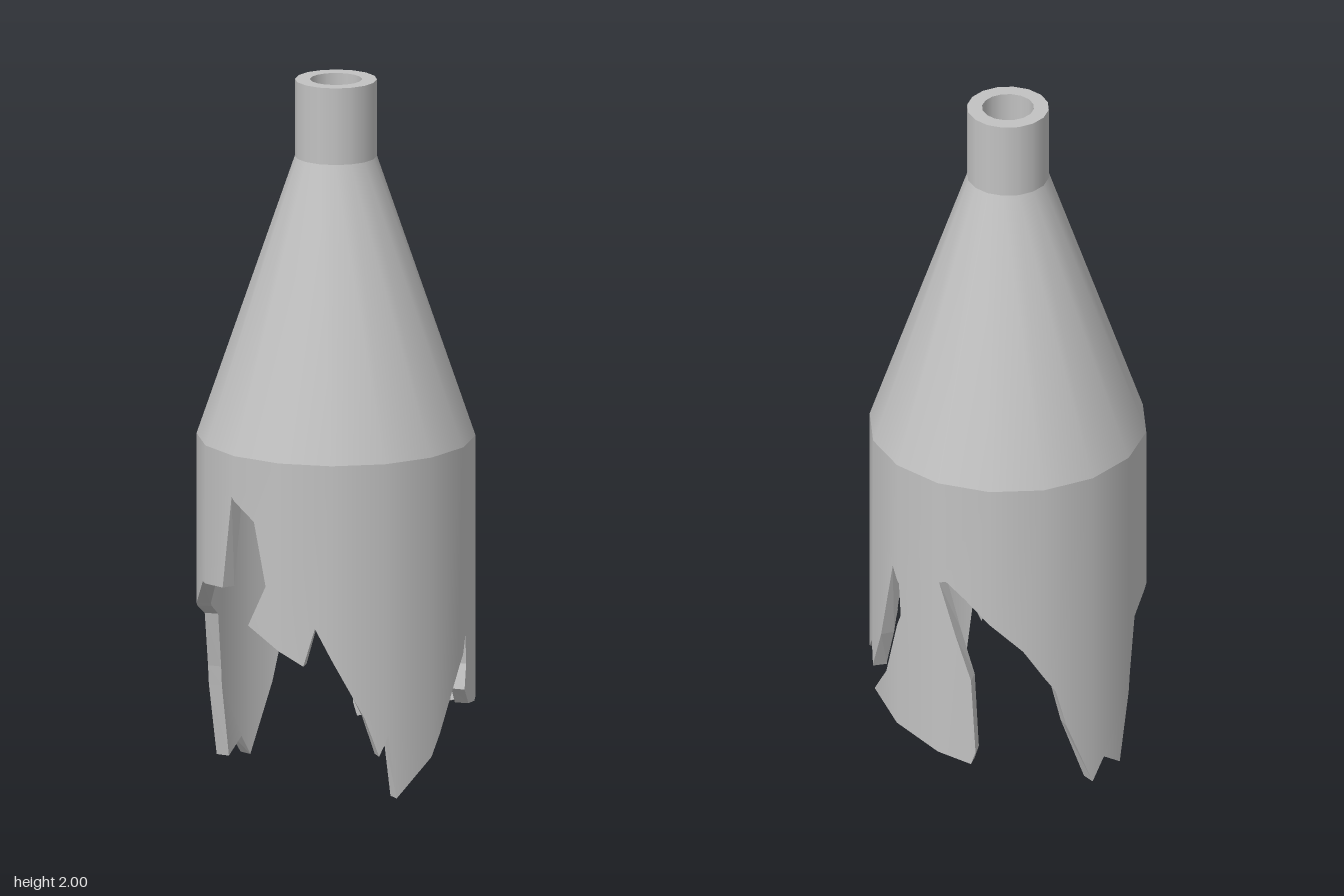
import * as THREE from 'three';

const SIDES = 16, STEP = 360 / SIDES;
const OUTER = 0.39, INNER = 0.35, SHOULDER = 0.98;

// Jagged lower edge, unrolled: [degrees around from the front, height]
const BREAK = [
  [0, 0.12], [6, 0.18], [19.5, 0.35], [26.5, 0.435], [28, 0.35], [25, 0.28], [32, 0.23],
  [43, 0.22], [59, 0.3], [67, 0.25], [75, 0.38], [86, 0.64], [91, 0.6], [92, 0.5], [80, 0.28],
  [69, 0.185], [88, 0.15], [127, 0.09], [129, 0.13], [127, 0.36], [120, 0.5], [113, 0.66],
  [116, 0.665], [124, 0.62], [135, 0.55], [149, 0.46], [163, 0.32], [168, 0.2], [180, 0],
  [187, 0.06], [197, 0.015], [204, 0.28], [210, 0.44], [223, 0.48], [241, 0.58], [261, 0.59],
  [268, 0.86], [280, 0.8], [286, 0.62], [277, 0.5], [303, 0.4], [308, 0.51], [320, 0.36],
  [329, 0.25], [335, 0.14], [339, 0.2], [343, 0.015], [360, 0.12],
];

// Wraps an unrolled point onto the flat-sided wall of one facet
function wrap([deg, y], radius, facet) {
  const mid = (facet + 0.5) * STEP;
  const r = radius * Math.cos(Math.PI / SIDES) / Math.cos(THREE.MathUtils.degToRad(deg - mid));
  const a = THREE.MathUtils.degToRad(deg);
  return [r * Math.sin(a), y, r * Math.cos(a)];
}

// Keeps the part of a polygon on one side of a vertical line
function clip(poly, limit, sign) {
  const out = [];
  poly.forEach((p, i) => {
    const q = poly[(i + 1) % poly.length];
    const dp = (p[0] - limit) * sign, dq = (q[0] - limit) * sign;
    if (dp >= 0) out.push(p);
    if ((dp > 0 && dq < 0) || (dp < 0 && dq > 0)) {
      out.push([limit, p[1] + (q[1] - p[1]) * dp / (dp - dq)]);
    }
  });
  return out;
}

function makeGeometry(positions, normals) {
  const g = new THREE.BufferGeometry();
  g.setAttribute('position', new THREE.Float32BufferAttribute(positions, 3));
  if (normals) g.setAttribute('normal', new THREE.Float32BufferAttribute(normals, 3));
  else g.computeVertexNormals();
  return g;
}

// Cylindrical wall cut facet by facet out of the unrolled outline
function wallGeometry(radius, inward) {
  const outline = [...BREAK, [360, SHOULDER], [0, SHOULDER]];
  const positions = [], normals = [];
  const sign = inward ? -1 : 1;
  for (let f = 0; f < SIDES; f++) {
    const piece = clip(clip(outline, f * STEP, 1), (f + 1) * STEP, -1);
    const flat = piece.map(([x, y]) => new THREE.Vector2(x / 150, y));
    for (const tri of THREE.ShapeUtils.triangulateShape(flat, [])) {
      const [a, b, c] = tri;
      const area = flat[b].clone().sub(flat[a]).cross(flat[c].clone().sub(flat[a]));
      const order = area * sign < 0 ? [a, c, b] : [a, b, c];
      for (const k of order) {
        const t = THREE.MathUtils.degToRad(piece[k][0]);
        positions.push(...wrap(piece[k], radius, f));
        normals.push(sign * Math.sin(t), 0, sign * Math.cos(t));
      }
    }
  }
  return makeGeometry(positions, normals);
}

// Thickness of the glass along the break
function edgeGeometry() {
  const positions = [];
  for (let i = 0; i < BREAK.length - 1; i++) {
    const p = BREAK[i], q = BREAK[i + 1];
    const cuts = [0, 1];
    for (let f = 1; f < SIDES; f++) {
      const t = (f * STEP - p[0]) / (q[0] - p[0]);
      if (t > 0 && t < 1) cuts.push(t);
    }
    cuts.sort((a, b) => a - b);
    const at = t => [p[0] + (q[0] - p[0]) * t, p[1] + (q[1] - p[1]) * t];
    for (let k = 0; k < cuts.length - 1; k++) {
      const s = at(cuts[k]), e = at(cuts[k + 1]);
      const f = Math.floor((s[0] + e[0]) / 2 / STEP);
      const so = wrap(s, OUTER, f), si = wrap(s, INNER, f);
      const eo = wrap(e, OUTER, f), ei = wrap(e, INNER, f);
      positions.push(...so, ...si, ...eo, ...eo, ...si, ...ei);
    }
  }
  return makeGeometry(positions);
}

export function createModel() {
  const group = new THREE.Group();
  const glass = new THREE.MeshStandardMaterial({ color: 0xc2c2c2 });
  const add = (name, geometry) => {
    const mesh = new THREE.Mesh(geometry, glass);
    mesh.name = name;
    group.add(mesh);
  };

  // Neck and shoulder, one section each so the rings stay crisp
  const section = (name, ...pts) =>
    add(name, new THREE.LatheGeometry(pts.map(p => new THREE.Vector2(...p)), SIDES));
  section('shoulderOutside', [OUTER, SHOULDER], [0.115, 1.78]);
  section('neckOutside', [0.115, 1.78], [0.115, 2]);
  section('mouthRim', [0.115, 2], [0.073, 2]);
  section('neckInside', [0.073, 2], [0.073, 1.78]);
  section('shoulderInside', [0.073, 1.78], [INNER, SHOULDER]);

  // Broken body
  add('bodyOutside', wallGeometry(OUTER, false));
  add('bodyInside', wallGeometry(INNER, true));
  add('brokenEdge', edgeGeometry());
  return group;
}
